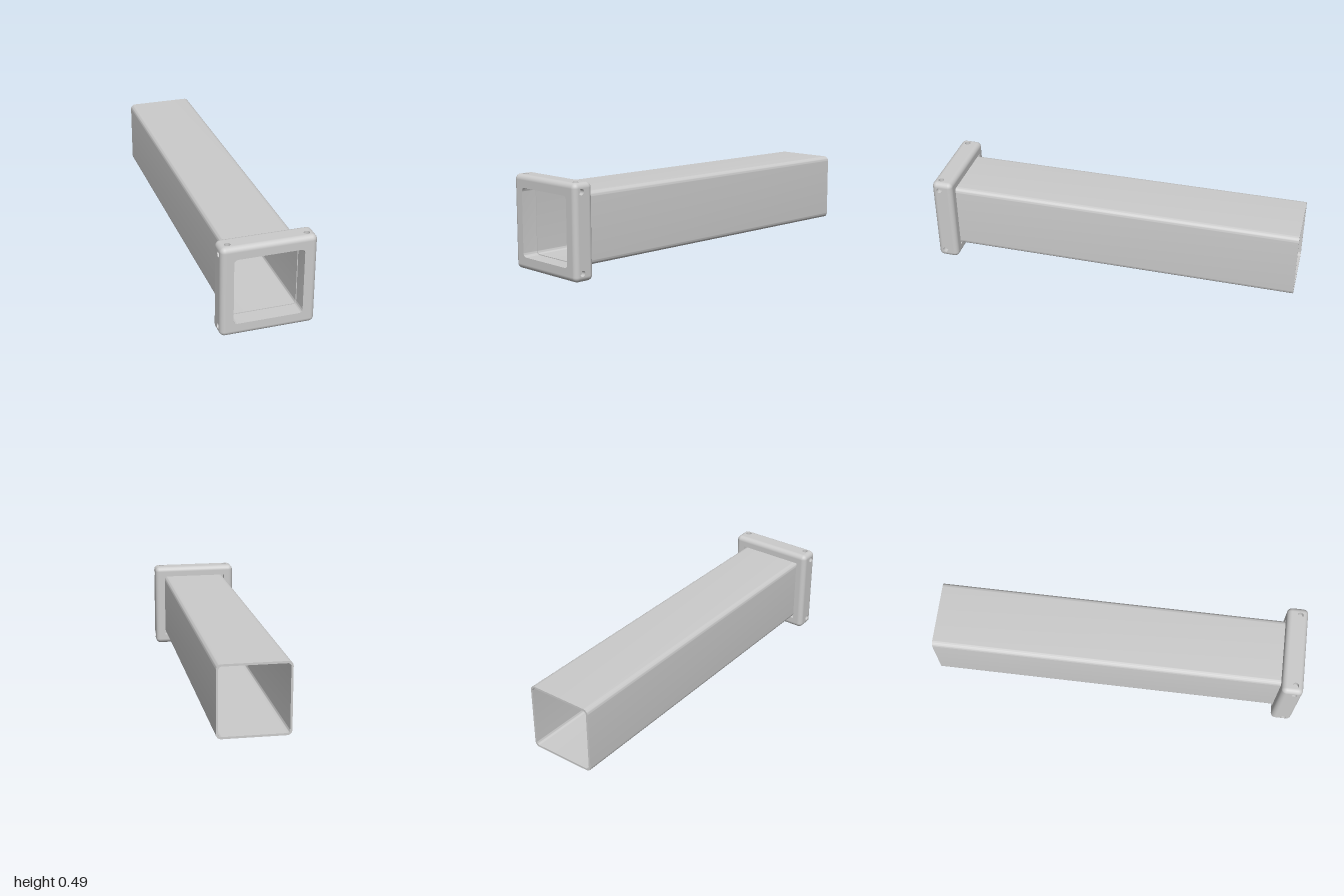
import * as THREE from 'three';
import { toCreasedNormals } from 'three/addons/utils/BufferGeometryUtils.js';

const MID = 0.244;                 // half width of the collar and height of the axis
const FILLET = 0.027;
const FLAT = MID - FILLET;         // half width of the collar's flat faces
const FRONT = 1, BACK = 0.886, STEP = 0.915;
const HOLE = { t: 0.2, z: 0.957, r: 0.0155, depth: 0.026 };

const grey = new THREE.MeshStandardMaterial({ color: 0xcccccc });
const greyInside = new THREE.MeshStandardMaterial({ color: 0xcccccc, side: THREE.BackSide });

function mesh(name, geometry, material = grey) {
  const m = new THREE.Mesh(geometry, material);
  m.name = name;
  return m;
}

// Square outline of half width h with corner radius r
function square(h, r, Type = THREE.Shape) {
  const s = new Type();
  if (r === 0) {
    return s.setFromPoints([[-h, -h], [h, -h], [h, h], [-h, h], [-h, -h]].map(p => new THREE.Vector2(...p)));
  }
  const c = h - r, q = Math.PI / 2;
  s.absarc(c, c, r, 0, q);
  s.absarc(-c, c, r, q, 2 * q);
  s.absarc(-c, -c, r, 2 * q, 3 * q);
  s.absarc(c, -c, r, 3 * q, 4 * q);
  s.closePath();
  return s;
}

// Square frame running from z0 to z1
function frame(outer, outerR, inner, innerR, z0, z1) {
  const s = square(outer, outerR);
  s.holes.push(square(inner, innerR, THREE.Path));
  const g = new THREE.ExtrudeGeometry(s, { depth: z1 - z0, bevelEnabled: false, curveSegments: 6 });
  g.translate(0, 0, z0);
  return toCreasedNormals(g, 0.6);
}

// Rounded edges and corners of the collar, leaving its flat faces open
function filletGeometry() {
  const n = 6, pos = [], nor = [], idx = [], q = Math.PI / 2;
  const perRing = 4 * (n + 1);
  for (let i = 0; i < 2 * (n + 1); i++) {
    const front = i <= n;
    const phi = front ? q * (1 - i / n) : -q * (i - n - 1) / n;
    const zc = front ? FRONT - FILLET : BACK + FILLET;
    for (let k = 0; k < 4; k++) {
      const cx = (k === 0 || k === 3) ? FLAT : -FLAT, cy = k < 2 ? FLAT : -FLAT;
      for (let j = 0; j <= n; j++) {
        const a = (k + j / n) * q;
        const v = [Math.cos(phi) * Math.cos(a), Math.cos(phi) * Math.sin(a), Math.sin(phi)];
        nor.push(...v);
        pos.push(cx + FILLET * v[0], cy + FILLET * v[1], zc + FILLET * v[2]);
      }
    }
  }
  for (let i = 0; i < 2 * n + 1; i++) {
    for (let j = 0; j < perRing; j++) {
      if (i === n && j % (n + 1) === n) continue; // flat walls are made separately
      const a = i * perRing + j, b = i * perRing + (j + 1) % perRing;
      idx.push(a, a + perRing, b, b, a + perRing, b + perRing);
    }
  }
  const g = new THREE.BufferGeometry();
  g.setAttribute('position', new THREE.Float32BufferAttribute(pos, 3));
  g.setAttribute('normal', new THREE.Float32BufferAttribute(nor, 3));
  g.setIndex(idx);
  return g;
}

// One outer wall of the collar with two blind screw holes, facing +y
function collarWall() {
  const wall = new THREE.Group();
  wall.name = 'collarWall';
  const z0 = BACK + FILLET, z1 = FRONT - FILLET;
  const s = new THREE.Shape([[-FLAT, -z1], [FLAT, -z1], [FLAT, -z0], [-FLAT, -z0]].map(p => new THREE.Vector2(...p)));
  for (const side of [-1, 1]) {
    const x = side * HOLE.t;
    s.holes.push(new THREE.Path().absarc(x, -HOLE.z, HOLE.r, 0, Math.PI * 2));
    const barrel = mesh('screwHoleWall', new THREE.CylinderGeometry(HOLE.r, HOLE.r, HOLE.depth, 16, 1, true), greyInside);
    barrel.position.set(x, MID - HOLE.depth / 2, HOLE.z);
    const floor = mesh('screwHoleFloor', new THREE.CircleGeometry(HOLE.r, 16).rotateX(-Math.PI / 2));
    floor.position.set(x, MID - HOLE.depth, HOLE.z);
    wall.add(barrel, floor);
  }
  const face = new THREE.ShapeGeometry(s, 8).rotateX(-Math.PI / 2).translate(0, MID, 0);
  wall.add(mesh('wallFace', face));
  return wall;
}

export function createModel() {
  const model = new THREE.Group();
  model.name = 'squareTubeWithCollar';

  // Long hollow square tube, its front end seated in the collar
  const tube = mesh('tube', frame(0.185, 0.026, 0.174, 0.016, -1, STEP));
  tube.position.y = MID;

  // Collar: front opening, rear socket, rounded edges and drilled walls
  const collar = new THREE.Group();
  collar.name = 'collar';
  collar.position.y = MID;
  collar.add(mesh('collarFront', frame(FLAT, 0, 0.178, 0.02, STEP, FRONT)));
  collar.add(mesh('collarSocket', frame(FLAT, 0, 0.188, 0, BACK, STEP)));
  collar.add(mesh('collarRoundedEdges', filletGeometry()));
  for (let k = 0; k < 4; k++) {
    const wall = collarWall();
    wall.rotation.z = k * Math.PI / 2;
    collar.add(wall);
  }

  model.add(tube, collar);
  return model;
}
